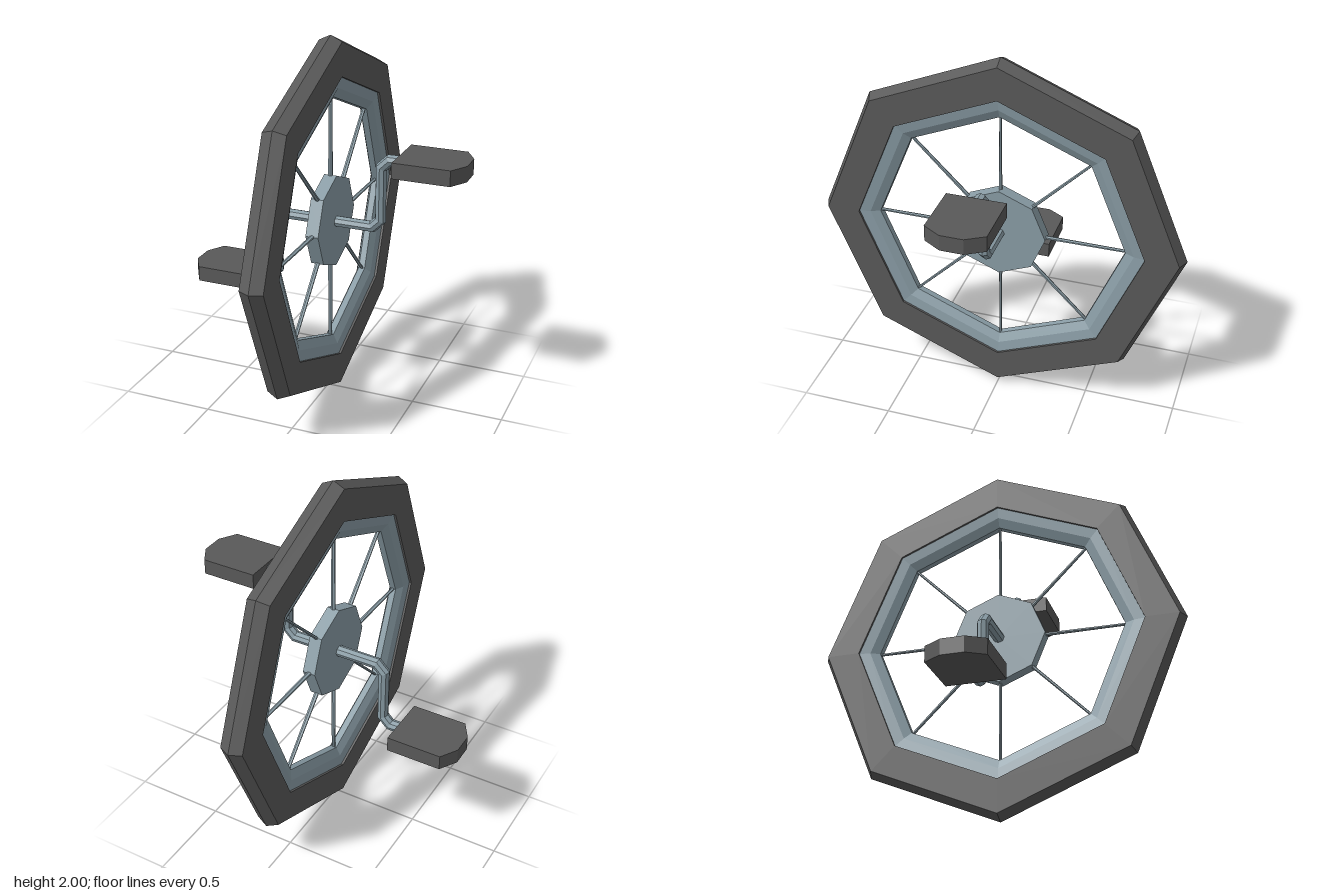
import * as THREE from 'three';

const dark = new THREE.MeshStandardMaterial({ color: 0x595959, flatShading: true });
dark.name = 'dark rubber';
const steel = new THREE.MeshStandardMaterial({ color: 0x8a9da6, flatShading: true });
steel.name = 'blue grey steel';

const WHEEL_X = 0.013;

// Tube path that keeps its corners sharp: one ring per point
class CornerPath extends THREE.Curve {
  constructor(points) {
    super();
    this.points = points;
  }
  getPoint(t, target = new THREE.Vector3()) {
    return target.copy(this.points[Math.round(t * (this.points.length - 1))]);
  }
  getPointAt(t, target) {
    return this.getPoint(t, target);
  }
  getTangentAt(t, target = new THREE.Vector3()) {
    const p = this.points, last = p.length - 1, i = Math.round(t * last);
    target.set(0, 0, 0);
    if (i > 0) target.add(p[i].clone().sub(p[i - 1]).normalize());
    if (i < last) target.add(p[i + 1].clone().sub(p[i]).normalize());
    return target.normalize();
  }
}

function add(parent, name, geometry, material) {
  const mesh = new THREE.Mesh(geometry, material);
  mesh.name = name;
  parent.add(mesh);
  return mesh;
}

// Eight-sided ring around the x axis from a closed [radius, x] profile
function ring(profile) {
  const points = profile.map(([r, x]) => new THREE.Vector2(r, x));
  points.push(points[0].clone());
  return new THREE.LatheGeometry(points, 8).rotateZ(-Math.PI / 2);
}

function pedalGeometry() {
  const shape = new THREE.Shape();
  shape.moveTo(0, -0.156);
  shape.lineTo(0.305, -0.156);
  shape.lineTo(0.363, -0.06);
  shape.lineTo(0.363, 0.06);
  shape.lineTo(0.305, 0.156);
  shape.lineTo(0, 0.156);
  shape.closePath();
  return new THREE.ExtrudeGeometry(shape, { depth: 0.084, bevelEnabled: false })
    .translate(0, 0, -0.042).rotateX(-Math.PI / 2);
}

export function createModel() {
  const model = new THREE.Group();
  model.name = 'pedalWheel';

  // Wheel
  const wheel = new THREE.Group();
  wheel.name = 'wheel';
  wheel.position.set(WHEEL_X, 1, 0);
  model.add(wheel);

  add(wheel, 'tire', ring([
    [0.79, -0.063], [0.97, -0.063], [1.0, 0], [0.97, 0.063], [0.79, 0.063],
  ]), dark);
  add(wheel, 'rim', ring([
    [0.8, -0.052], [0.8, 0.052], [0.73, 0.042], [0.68, 0.018],
    [0.68, -0.018], [0.73, -0.042],
  ]), steel);
  add(wheel, 'hub', new THREE.CylinderGeometry(0.255, 0.255, 0.07, 8).rotateZ(-Math.PI / 2), steel);

  // Spokes, slightly wider along the axle
  for (let i = 0; i < 8; i++) {
    const spoke = new THREE.CylinderGeometry(0.007, 0.009, 0.48, 6)
      .scale(1.5, 1, 1).translate(0, 0.46, 0).rotateX(i * Math.PI / 4);
    add(wheel, 'spoke', spoke, steel);
  }

  // Crank: bent rod with chamfered corners, passing through the hub
  const path = [
    [-0.45, 0.625], [-0.34, 0.625], [-0.295, 0.67], [-0.295, 0.955], [-0.25, 1.0],
    [0.25, 1.0], [0.295, 1.045], [0.295, 1.335], [0.34, 1.38], [0.45, 1.38],
  ].map(([x, y]) => new THREE.Vector3(x, y, 0));
  add(model, 'crank', new THREE.TubeGeometry(new CornerPath(path), path.length - 1, 0.032, 8), steel);

  // Pedals
  const left = add(model, 'leftPedal', pedalGeometry(), dark);
  left.position.set(0.402, 1.382, 0);
  const right = add(model, 'rightPedal', pedalGeometry(), dark);
  right.position.set(-0.404, 0.627, 0);
  right.rotation.y = Math.PI;

  return model;
}
